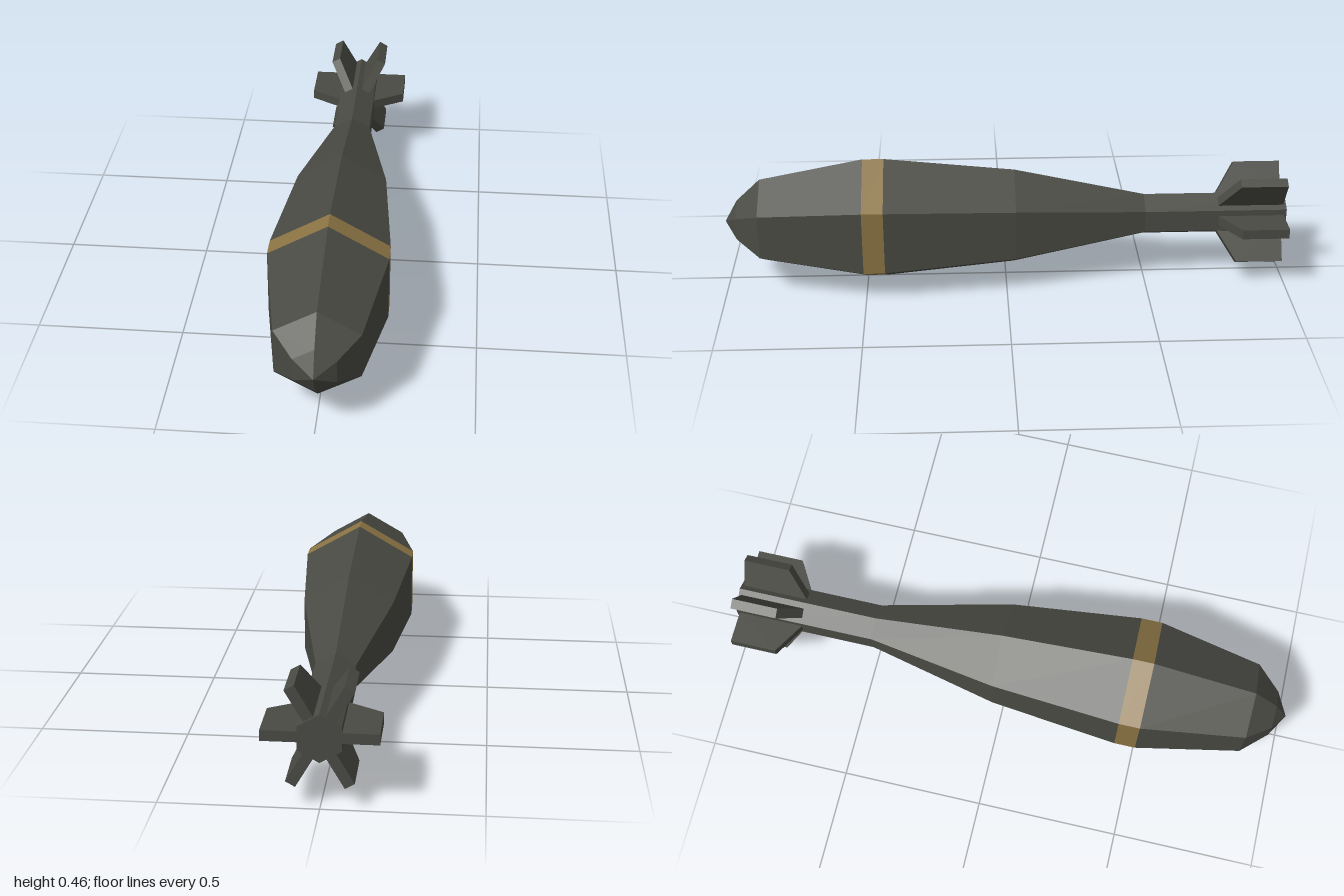
import * as THREE from 'three';

const AXIS_Y = 0.235;

export function createModel() {
  const model = new THREE.Group();
  model.name = 'finnedShell';
  const olive = new THREE.MeshStandardMaterial({ color: 0x4a4a44, flatShading: true });
  olive.name = 'dark olive';
  const ochre = new THREE.MeshStandardMaterial({ color: 0x8b7444, flatShading: true });
  ochre.name = 'ochre';

  const body = new THREE.Group();
  body.name = 'body';
  body.position.y = AXIS_Y;
  model.add(body);

  const add = (name, geometry, material) => {
    const mesh = new THREE.Mesh(geometry, material);
    mesh.name = name;
    body.add(mesh);
    return mesh;
  };

  // Six-sided section along z, from [radius, z] pairs listed back to front
  const hexSection = (profile) =>
    new THREE.LatheGeometry(profile.map(([r, z]) => new THREE.Vector2(r, z)), 6).rotateX(Math.PI / 2);

  // Hull: tail boom and taper, painted ring, nose
  add('tailAndTaper', hexSection([[0, -1], [0.078, -1], [0.078, -0.495], [0.183, -0.03], [0.232, 0.43]]), olive);
  add('paintedBand', hexSection([[0.232, 0.43], [0.232, 0.505]]), ochre);
  add('nose', hexSection([[0.232, 0.505], [0.16, 0.87], [0.08, 0.955], [0, 1]]), olive);

  // Tail fins: swept leading edge, one on each flat of the boom
  const thickness = 0.035;
  const outline = new THREE.Shape([
    new THREE.Vector2(0.05, -0.99),
    new THREE.Vector2(0.181, -0.99),
    new THREE.Vector2(0.181, -0.825),
    new THREE.Vector2(0.067, -0.757),
    new THREE.Vector2(0.05, -0.757),
  ]);
  const finGeometry = new THREE.ExtrudeGeometry(outline, { depth: thickness, bevelEnabled: false })
    .translate(0, 0, -thickness / 2)
    .rotateX(Math.PI / 2);
  for (let i = 0; i < 6; i++) {
    add('tailFin' + (i + 1), finGeometry, olive).rotation.z = (i * Math.PI) / 3;
  }

  return model;
}
